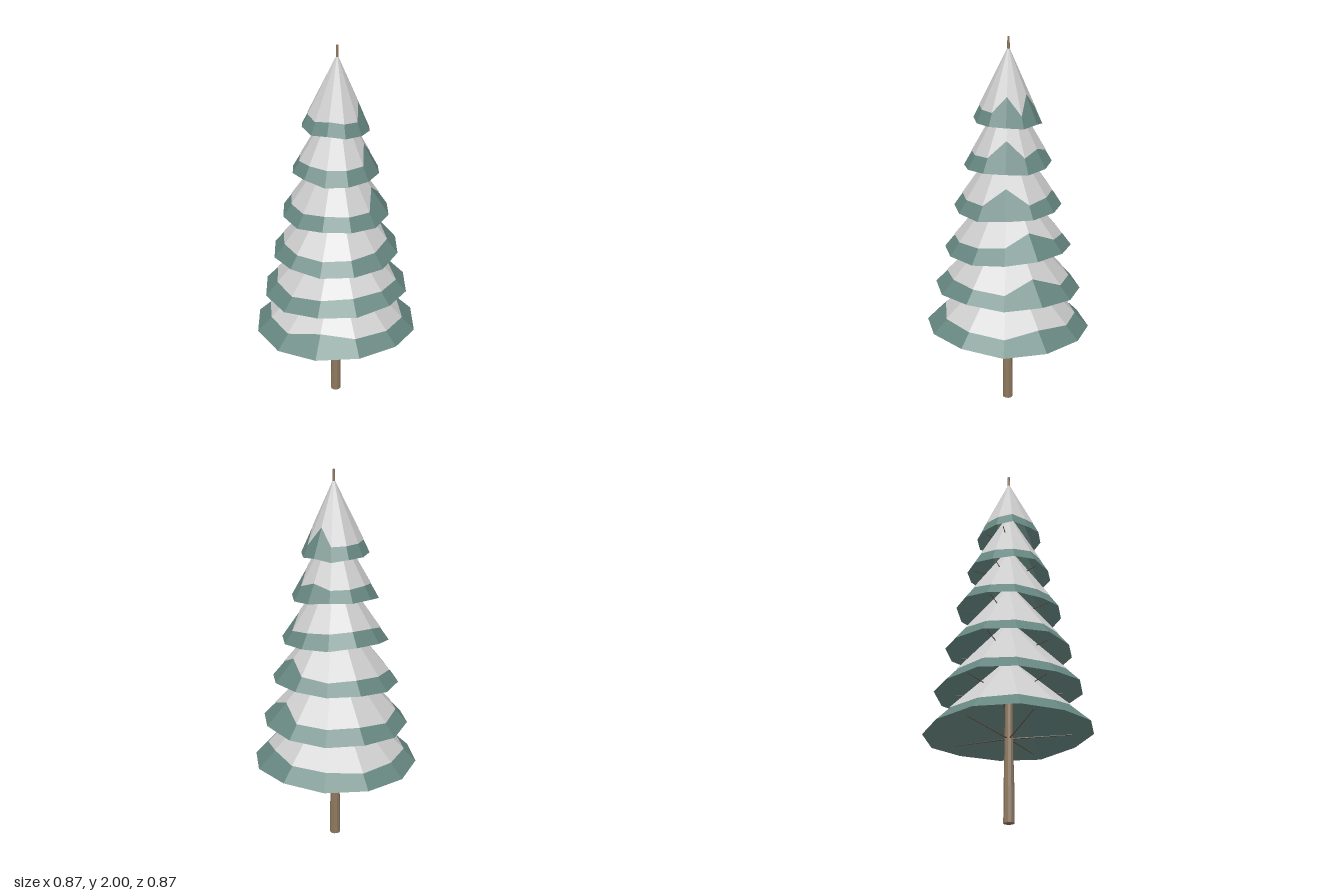
import * as THREE from 'three';

const SIDES = 12;
const mat = (color, side = THREE.FrontSide) =>
  new THREE.MeshStandardMaterial({ color, flatShading: true, roughness: 1, side });

// Tiers from the bottom up: rim radius, apex height, rim heights toward +x, +z, -x, -z,
// and the places (side index: reach) where the snow has slipped back up the slope.
const TIERS = [
  { r: 0.436, top: 0.87, rim: [0.455, 0.475, 0.455, 0.437], slips: { 0: 0.79, 4: 0.77 } },
  { r: 0.385, top: 1.09, rim: [0.69, 0.69, 0.667, 0.667], slips: { 0: 0.72 } },
  { r: 0.333, top: 1.31, rim: [0.92, 0.895, 0.89, 0.912], slips: { 0: 0.7 } },
  { r: 0.28, top: 1.53, rim: [1.125, 1.12, 1.12, 1.15], slips: { 1: 0.66 } },
  { r: 0.226, top: 1.75, rim: [1.345, 1.345, 1.357, 1.365], slips: { 1: 0.63, 11: 0.77 } },
  { r: 0.175, top: 1.95, rim: [1.567, 1.58, 1.6, 1.575], slips: { 1: 0.63, 11: 0.62 } },
];

function seeded(seed) {
  return () => (seed = (seed * 16807) % 2147483647) / 2147483647;
}

// Open fan from an apex to a ring of points
function fan(apex, ring) {
  const pos = [];
  ring.forEach((p, i) => {
    const q = ring[(i + 1) % ring.length];
    pos.push(...apex.toArray(), ...q.toArray(), ...p.toArray());
  });
  const g = new THREE.BufferGeometry();
  g.setAttribute('position', new THREE.Float32BufferAttribute(pos, 3));
  g.computeVertexNormals();
  return g;
}

function addMesh(parent, geometry, material, name) {
  const mesh = new THREE.Mesh(geometry, material);
  mesh.name = name;
  parent.add(mesh);
  return mesh;
}

export function createModel() {
  const tree = new THREE.Group();
  tree.name = 'snowyTree';
  const green = mat(0x668680, THREE.DoubleSide);
  const white = mat(0xf2f4f3);
  const bark = mat(0x8f7960);
  const twig = mat(0x5e5044);
  const rand = seeded(4217);

  // Trunk: tapering, leaning very slightly toward +x
  const profile = [[0, 0], [0.028, 0], [0.027, 0.18], [0.024, 0.3], [0.021, 0.5],
    [0.016, 1], [0.01, 1.6], [0.006, 2], [0, 2]].map(([x, y]) => new THREE.Vector2(x, y));
  const trunk = new THREE.LatheGeometry(profile, 10);
  const tp = trunk.attributes.position;
  for (let i = 0; i < tp.count; i++) tp.setX(i, tp.getX(i) + 0.004 * tp.getY(i));
  trunk.computeVertexNormals();
  addMesh(tree, trunk, bark, 'trunk');

  TIERS.forEach(({ r, top, rim, slips }, t) => {
    const tier = new THREE.Group();
    tier.name = 'tier' + (t + 1);
    tree.add(tier);
    const apex = new THREE.Vector3(0.004 * top, top, 0);

    // Drooping foliage skirt with a slightly uneven rim
    const ring = Array.from({ length: SIDES }, (_, i) => {
      const a = (i / SIDES) * Math.PI * 2;
      const quarter = Math.floor(i / 3);
      const y = THREE.MathUtils.lerp(rim[quarter], rim[(quarter + 1) % 4], (i % 3) / 3);
      const wobble = i % 3 ? (rand() - 0.5) * 0.022 : 0;
      return new THREE.Vector3(Math.cos(a) * r, y + wobble, Math.sin(a) * r);
    });
    addMesh(tier, fan(apex, ring), green, 'foliage');

    // Snow sheet lying just above the foliage
    const snowRing = ring.map((p, i) =>
      apex.clone().lerp(p, slips[i] ?? 0.82 + rand() * 0.04));
    const snow = addMesh(tier, fan(apex, snowRing), white, 'snow');
    snow.position.y = 0.005;

    // Thin branches under the skirt
    const base = rim.reduce((s, y) => s + y, 0) / 4 - 0.025;
    for (let k = 0; k < 5; k++) {
      const a = (k / 5) * Math.PI * 2 + t * 1.1 + 0.3 + (rand() - 0.5) * 0.5;
      const reach = r * (0.72 + rand() * 0.16);
      const from = new THREE.Vector3(0.004 * base, base, 0);
      const to = new THREE.Vector3(Math.cos(a) * reach, base + 0.035, Math.sin(a) * reach);
      const dir = to.clone().sub(from);
      const branch = addMesh(tier,
        new THREE.CylinderGeometry(0.002, 0.004, dir.length(), 5), twig, 'branch');
      branch.position.copy(from).addScaledVector(dir, 0.5);
      branch.quaternion.setFromUnitVectors(new THREE.Vector3(0, 1, 0), dir.normalize());
    }
  });
  return tree;
}
